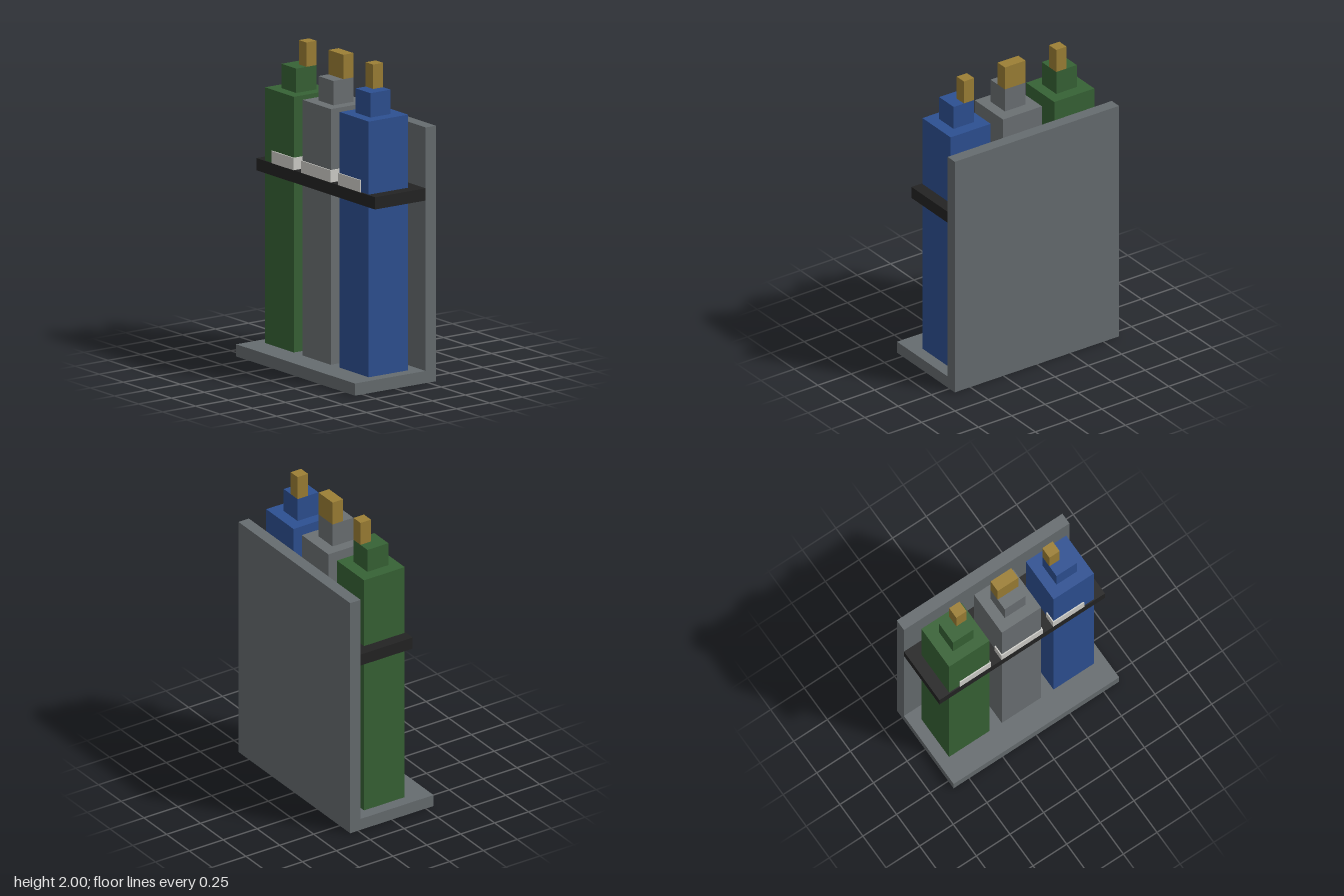
import * as THREE from 'three';

const U = 1 / 13; // modelling grid: 26 units tall

const mat = (name, color) => {
  const m = new THREE.MeshStandardMaterial({ color });
  m.name = name;
  return m;
};

// Box from minimum to maximum corner, in grid units
function box(parent, name, material, [x0, y0, z0], [x1, y1, z1]) {
  const mesh = new THREE.Mesh(
    new THREE.BoxGeometry((x1 - x0) * U, (y1 - y0) * U, (z1 - z0) * U), material);
  mesh.position.set((x0 + x1) / 2 * U, (y0 + y1) / 2 * U, (z0 + z1) / 2 * U);
  mesh.name = name;
  parent.add(mesh);
}

export function createModel() {
  const frame = mat('frame grey', 0x666c6f);
  const grey = mat('bottle grey', 0x6b7073);
  const green = mat('bottle green', 0x376235);
  const blue = mat('bottle blue', 0x2d5092);
  const brass = mat('brass', 0x9c7f35);
  const black = mat('strap black', 0x232323);
  const white = mat('label white', 0xd0cfca);

  const model = new THREE.Group();
  model.name = 'gasBottleRack';

  // Rack: floor plate, back wall and the shelf-like strap
  box(model, 'base', frame, [-8, 0, -4], [8, 1, 4]);
  box(model, 'backPanel', frame, [-8, 1, -4], [8, 21, -3]);
  box(model, 'strap', black, [-8, 15, -3], [8, 16, 2]);

  const t = 0.1; // label thickness
  const bottles = [
    { name: 'greenBottle', m: green, body: [-7, -3.1], neck: [-6, -4], valve: [-5, -4], label: [-6, -3], sides: [-3.1] },
    { name: 'greyBottle', m: grey, body: [-1.9, 1.9], neck: [-1, 1], valve: [-1, 1], label: [-2, 2], sides: [-2, 1.9] },
    { name: 'blueBottle', m: blue, body: [3.1, 7], neck: [4, 6], valve: [4, 5], label: [3, 6], sides: [3] },
  ];
  for (const b of bottles) {
    const g = new THREE.Group();
    g.name = b.name;
    model.add(g);
    box(g, 'body', b.m, [b.body[0], 1, -2], [b.body[1], 22, 1.9]);
    box(g, 'neck', b.m, [b.neck[0], 22, -1], [b.neck[1], 24, 1]);
    box(g, 'valve', brass, [b.valve[0], 24, -1], [b.valve[1], 26, 0]);
    // Label wraps round the front corners, just above the strap
    box(g, 'labelFront', white, [b.label[0], 16, 1.9], [b.label[1], 17, 2]);
    for (const x of b.sides) box(g, 'labelSide', white, [x, 16, 1], [x + t, 17, 1.9]);
  }
  return model;
}
